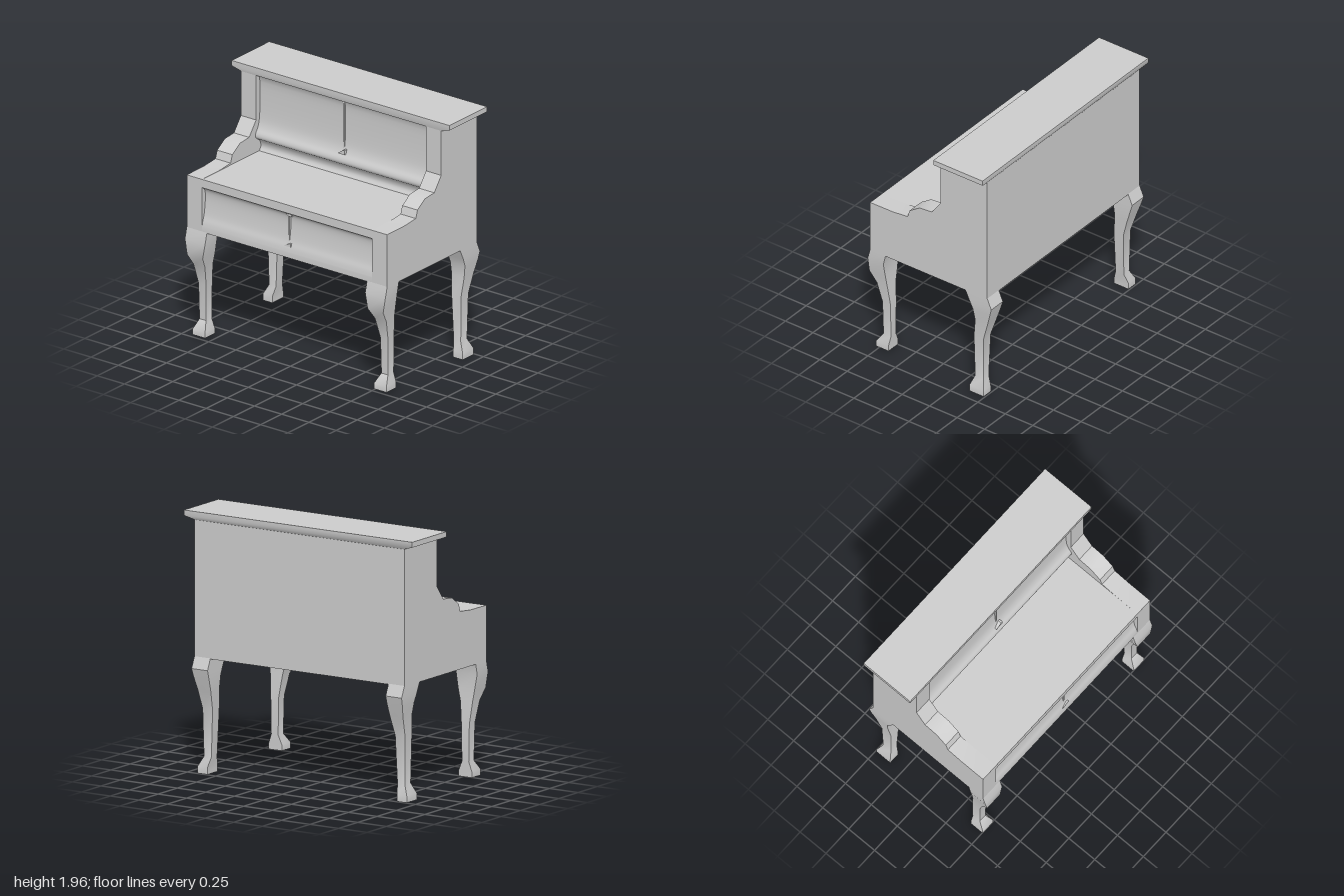
import * as THREE from 'three';
import { toCreasedNormals } from 'three/addons/utils/BufferGeometryUtils.js';

const material = new THREE.MeshStandardMaterial({ color: 0xcccccc });

function add(parent, name, geometry) {
  const mesh = new THREE.Mesh(geometry, material);
  mesh.name = name;
  parent.add(mesh);
  return mesh;
}

// Solid with a (z, y) profile, running from x0 to x1
function profileSolid(points, x0, x1) {
  const shape = new THREE.Shape(points.map(([z, y]) => new THREE.Vector2(z, y)));
  const geometry = new THREE.ExtrudeGeometry(shape, { depth: x1 - x0, bevelEnabled: false });
  geometry.rotateY(-Math.PI / 2);
  geometry.translate(x1, 0, 0);
  return toCreasedNormals(geometry, Math.PI / 5);
}

// Solid through rectangular sections [y, x0, x1, z0, z1], bottom to top
function loft(sections) {
  const positions = [];
  const indices = [];
  for (const [y, x0, x1, z0, z1] of sections) {
    positions.push(x0, y, z1, x1, y, z1, x1, y, z0, x0, y, z0);
  }
  for (let s = 0; s < sections.length - 1; s++) {
    for (let i = 0; i < 4; i++) {
      const a = s * 4 + i, b = s * 4 + (i + 1) % 4;
      indices.push(a, b, b + 4, a, b + 4, a + 4);
    }
  }
  const t = (sections.length - 1) * 4;
  indices.push(0, 2, 1, 0, 3, 2, t, t + 1, t + 2, t, t + 2, t + 3);
  const geometry = new THREE.BufferGeometry();
  geometry.setAttribute('position', new THREE.Float32BufferAttribute(positions, 3));
  geometry.setIndex(indices);
  return toCreasedNormals(geometry, Math.PI / 5);
}

// Rounds a run of profile points
function smooth(points, count) {
  const curve = new THREE.SplineCurve(points.map(([z, y]) => new THREE.Vector2(z, y)));
  return curve.getPoints(count).map((p) => [p.x, p.y]);
}

// Small triangular bracket facing the front
function bracket(y0, y1, z, flip) {
  const corners = flip
    ? [[-0.035, y1], [0.0, y0], [0.03, y0], [0.03, y1]]
    : [[-0.035, y0], [0.03, y0], [0.03, y1], [0.015, y1]];
  const shape = new THREE.Shape(corners.map(([x, y]) => new THREE.Vector2(x, y)));
  const geometry = new THREE.ExtrudeGeometry(shape, { depth: 0.03, bevelEnabled: false });
  geometry.translate(0, 0, z - 0.03);
  return geometry;
}

const frontLegSections = [
  [0.025, 0.775, 0.89, 0.395, 0.51],
  [0.07, 0.775, 0.89, 0.395, 0.51],
  [0.14, 0.805, 0.865, 0.392, 0.46],
  [0.42, 0.80, 0.87, 0.392, 0.465],
  [0.58, 0.78, 0.885, 0.41, 0.505],
  [0.67, 0.757, 0.90, 0.415, 0.562],
  [0.79, 0.735, 0.92, 0.42, 0.562],
  [0.875, 0.735, 0.92, 0.40, 0.54],
];

const backLegSections = [
  [0, 0.83, 0.917, -0.49, -0.36],
  [0.05, 0.83, 0.917, -0.49, -0.36],
  [0.125, 0.815, 0.88, -0.46, -0.385],
  [0.48, 0.80, 0.887, -0.467, -0.38],
  [0.63, 0.785, 0.90, -0.513, -0.40],
  [0.73, 0.78, 0.915, -0.545, -0.39],
  [0.79, 0.78, 0.92, -0.562, -0.365],
  [0.875, 0.78, 0.92, -0.525, -0.325],
];

const mirrored = (sections) =>
  sections.map(([y, x0, x1, z0, z1]) => [y, -x1, -x0, z0, z1]);

export function createModel() {
  const model = new THREE.Group();
  model.name = 'uprightPiano';

  // Side panels with stepped, sloping arms
  const sideProfile = [
    [-0.525, 0.87], [0.54, 0.87], [0.54, 1.285], [0.33, 1.287], [0.2, 1.3],
    [0.18, 1.36], [0.09, 1.42], [-0.02, 1.43], [-0.102, 1.54], [-0.102, 1.91], [-0.525, 1.91],
  ];
  add(model, 'leftSidePanel', profileSolid(sideProfile, 0.78, 0.92));
  add(model, 'rightSidePanel', profileSolid(sideProfile, -0.92, -0.78));

  // Case between the sides: hollowed lower panel, key lid, upper panel
  const lowerPanel = smooth([
    [0.54, 0.91], [0.532, 0.95], [0.515, 1.0], [0.503, 1.08], [0.5, 1.15], [0.51, 1.195], [0.54, 1.22],
  ], 18);
  const upperPanel = smooth([
    [-0.14, 1.285], [-0.16, 1.32], [-0.145, 1.365], [-0.1, 1.4], [-0.098, 1.435], [-0.125, 1.48],
    [-0.143, 1.55], [-0.15, 1.7], [-0.145, 1.85], [-0.11, 1.9],
  ], 30);
  add(model, 'case', profileSolid(
    [[-0.525, 0.87], [0.54, 0.87], ...lowerPanel, [0.54, 1.285], ...upperPanel, [-0.525, 1.9]],
    -0.78, 0.78,
  ));

  // Slim centre ribs and their brackets
  const upperRib = add(model, 'upperRib', new THREE.BoxGeometry(0.012, 0.41, 0.03));
  upperRib.position.set(0, 1.69, -0.15);
  const lowerRib = add(model, 'lowerRib', new THREE.BoxGeometry(0.012, 0.24, 0.03));
  lowerRib.position.set(0, 1.09, 0.502);
  add(model, 'upperRibBracket', bracket(1.47, 1.505, -0.105, false));
  add(model, 'lowerRibBracket', bracket(0.955, 0.98, 0.535, false));
  add(model, 'lowerRibTopBracket', bracket(1.19, 1.22, 0.525, true));

  // Overhanging lid with a flared underside
  add(model, 'topLid', loft([
    [1.89, -0.92, 0.92, -0.525, -0.102],
    [1.915, -1, 1, -0.543, -0.095],
    [1.955, -1, 1, -0.543, -0.095],
  ]));

  // Curved legs
  add(model, 'frontLeftLeg', loft(frontLegSections));
  add(model, 'frontRightLeg', loft(mirrored(frontLegSections)));
  add(model, 'backLeftLeg', loft(backLegSections));
  add(model, 'backRightLeg', loft(mirrored(backLegSections)));

  return model;
}
